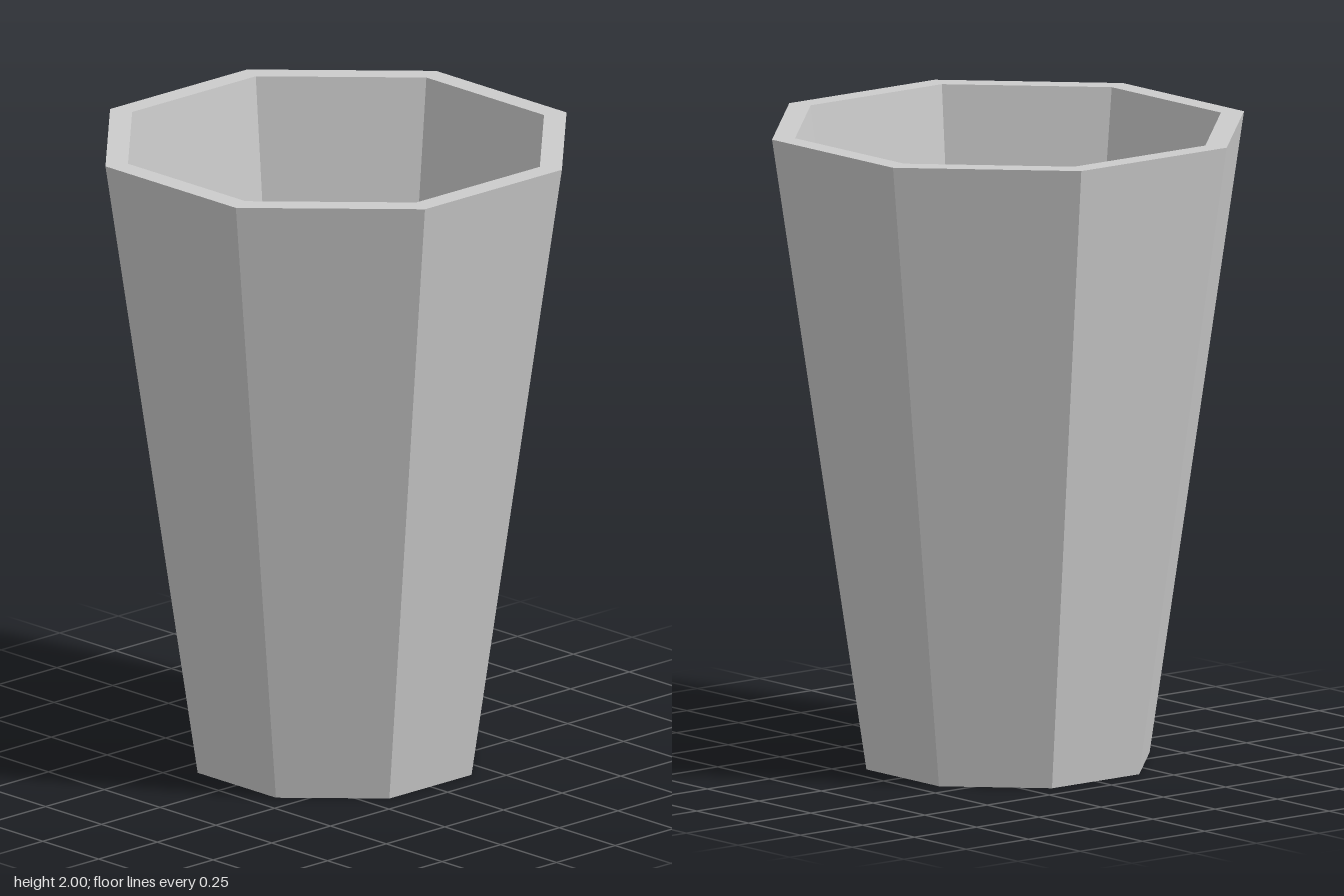
import * as THREE from 'three';

const SIDES = 8;
const corner = 1 / Math.cos(Math.PI / SIDES); // flat-to-centre distance -> corner radius

export function createModel() {
  const group = new THREE.Group();
  group.name = 'cup';

  // Closed wall profile: underside, outer wall, rim, inner wall, floor
  const profile = [
    [0, 0], [0.423, 0], [0.705, 2], [0.636, 2], [0.383, 0.1], [0, 0.1],
  ].map(([r, y]) => new THREE.Vector2(r * corner, y));

  // Tapered eight-sided cup, flats facing the axes
  const geometry = new THREE.LatheGeometry(profile, SIDES, Math.PI / SIDES);
  const material = new THREE.MeshStandardMaterial({ color: 0xcccccc, flatShading: true });
  const cup = new THREE.Mesh(geometry, material);
  cup.name = 'cupBody';
  group.add(cup);

  return group;
}
